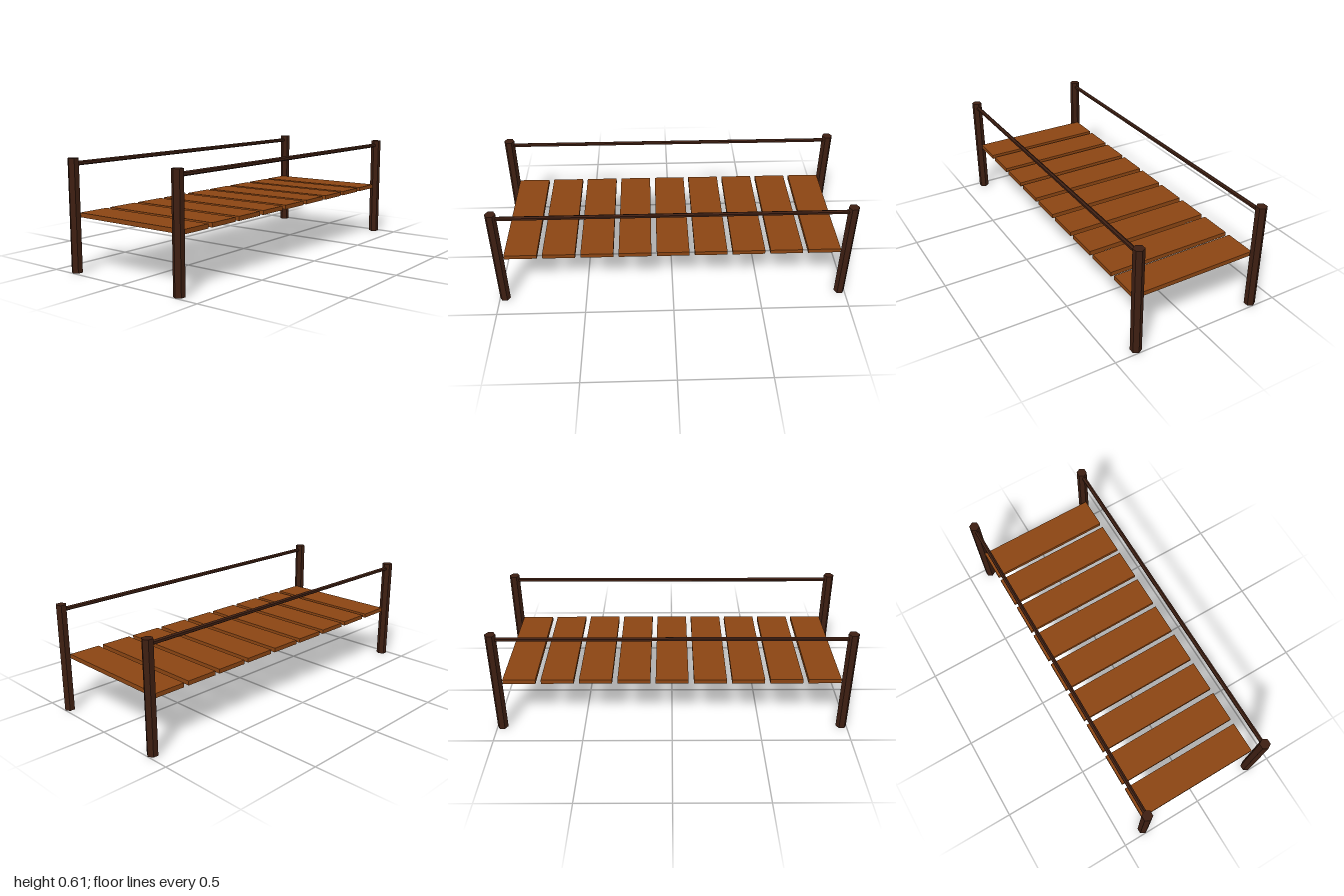
import * as THREE from 'three';

const POST_X = 0.364, POST_Z = 0.97, POST_R = 0.03, POST_H = 0.607;
const RAIL_Y = 0.577, RAIL_R = 0.0122;
const PLANKS = 9, PITCH = 0.212, DECK_Y = 0.304;

export function createModel() {
  const bridge = new THREE.Group();
  bridge.name = 'plankBridge';

  const darkWood = new THREE.MeshStandardMaterial({ color: 0x3e1f12, flatShading: true });
  const plankWood = new THREE.MeshStandardMaterial({ color: 0x8b4513, flatShading: true });

  const add = (name, geometry, material, x, y, z) => {
    const mesh = new THREE.Mesh(geometry, material);
    mesh.name = name;
    mesh.position.set(x, y, z);
    bridge.add(mesh);
  };

  // Hexagonal posts and rails, mirrored left and right
  const post = new THREE.CylinderGeometry(POST_R, POST_R, POST_H, 6);
  const rail = new THREE.CylinderGeometry(RAIL_R, RAIL_R, POST_Z * 2, 6).rotateX(Math.PI / 2);
  for (const [side, sx] of [['left', 1], ['right', -1]]) {
    add(`${side}FrontPost`, post, darkWood, sx * POST_X, POST_H / 2, POST_Z);
    add(`${side}BackPost`, post, darkWood, sx * POST_X, POST_H / 2, -POST_Z);
    add(`${side}Rail`, rail, darkWood, sx * POST_X, RAIL_Y, 0);
  }

  // Evenly spaced deck planks
  const plank = new THREE.BoxGeometry(POST_X * 2, 0.024, 0.182);
  for (let i = 0; i < PLANKS; i++) {
    add(`plank${i + 1}`, plank, plankWood, 0, DECK_Y, (i - (PLANKS - 1) / 2) * PITCH);
  }

  return bridge;
}
